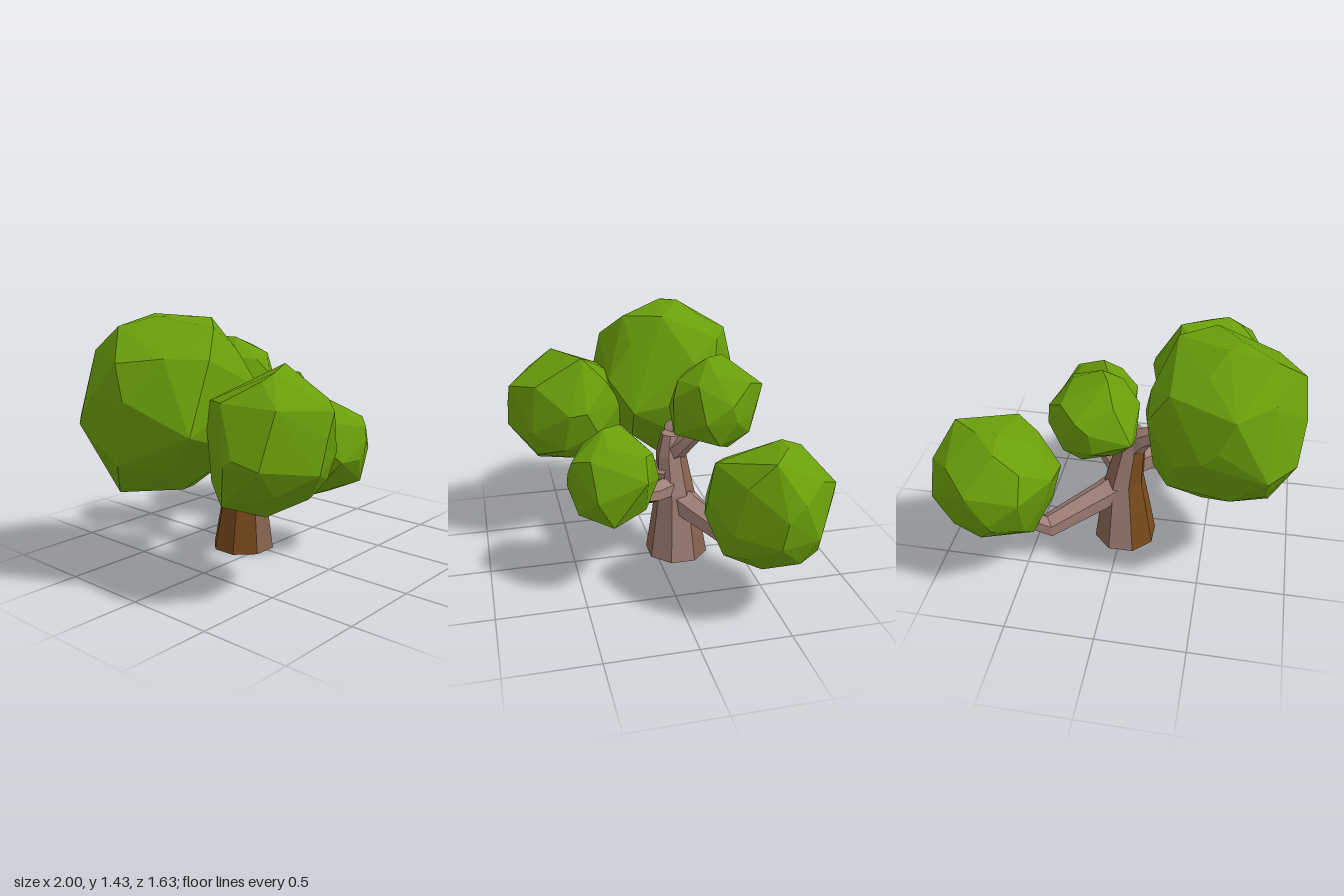
import * as THREE from 'three';
import { ConvexGeometry } from 'three/addons/geometries/ConvexGeometry.js';

const material = (name, color, side = THREE.FrontSide) => {
  const m = new THREE.MeshStandardMaterial({ color, side });
  m.name = name;
  return m;
};

// Faceted leaf clump: hull of three outlines (front [x, y], side [z, y], top [x, z]) and eight corners
function clumpGeometry({ front, side, top, fullness = 1 }) {
  const xs = [...front, ...top].map((p) => p[0]);
  const ys = [...front, ...side].map((p) => p[1]);
  const zs = [...side.map((p) => p[0]), ...top.map((p) => p[1])];
  const box = new THREE.Box3(
    new THREE.Vector3(Math.min(...xs), Math.min(...ys), Math.min(...zs)),
    new THREE.Vector3(Math.max(...xs), Math.max(...ys), Math.max(...zs)),
  );
  const c = box.getCenter(new THREE.Vector3());
  const half = box.getSize(new THREE.Vector3()).multiplyScalar(0.5);
  const zigzag = (i) => (i % 2 ? 0.18 : -0.18);
  const points = [
    ...front.map(([x, y], i) => new THREE.Vector3(x, y, c.z + half.z * zigzag(i))),
    ...side.map(([z, y], i) => new THREE.Vector3(c.x + half.x * zigzag(i), y, z)),
    ...top.map(([x, z], i) => new THREE.Vector3(x, c.y + half.y * zigzag(i), z)),
  ];
  for (const x of [-1, 1]) for (const y of [-1, 1]) for (const z of [-1, 1]) {
    points.push(new THREE.Vector3(x, y, z).multiplyScalar(0.577 * fullness).multiply(half).add(c));
  }
  return new ConvexGeometry(points);
}

// Faceted limb through [x, y, z, radius] rings, open at its base; tint gives the material of each face
function limbGeometry(rings, sides, reference, tint) {
  const centres = rings.map((r) => new THREE.Vector3(r[0], r[1], r[2]));
  const last = rings.length - 1;
  const loops = rings.map((ring, i) => {
    const t = centres[Math.min(i + 1, last)].clone().sub(centres[Math.max(i - 1, 0)]).normalize();
    if (reference.z === 1) t.set(0, 1, 0);
    const u = t.clone().cross(reference).normalize();
    const v = t.clone().cross(u);
    return Array.from({ length: sides }, (_, j) => {
      const a = ((j + 0.5) / sides) * Math.PI * 2;
      return centres[i].clone()
        .addScaledVector(u, ring[3] * Math.cos(a))
        .addScaledVector(v, ring[3] * Math.sin(a));
    });
  });
  const lists = [[], [], []];
  for (let j = 0; j < sides; j++) {
    const k = (j + 1) % sides;
    for (let i = 0; i < last; i++) {
      const [a, b, c, d] = [loops[i][j], loops[i][k], loops[i + 1][k], loops[i + 1][j]];
      lists[tint(i, j)].push(a, b, c, a, c, d);
    }
    lists[0].push(centres[last], loops[last][j], loops[last][k]);
  }
  const geometry = new THREE.BufferGeometry().setFromPoints(lists.flat());
  let start = 0;
  lists.forEach((list, index) => {
    geometry.addGroup(start, list.length, index);
    start += list.length;
  });
  geometry.computeVertexNormals();
  return geometry;
}

export function createModel() {
  const tree = new THREE.Group();
  tree.name = 'tree';
  const leaf = material('leaf green', 0x6a9e0a);
  const bark = [
    material('pale bark', 0xa08076, THREE.DoubleSide),
    material('mid bark', 0x86624f, THREE.DoubleSide),
    material('rust bark', 0x7a4a1c, THREE.DoubleSide),
  ];

  const add = (name, geometry, mat) => {
    const mesh = new THREE.Mesh(geometry, mat);
    mesh.name = name;
    tree.add(mesh);
  };

  // Tapered eight-sided trunk, its faces in three bark tones
  const trunkRings = [
    [-0.02, 0, -0.135, 0.188],
    [-0.015, 0.26, -0.13, 0.146],
    [-0.01, 0.42, -0.12, 0.118],
    [-0.045, 0.64, -0.105, 0.09],
    [-0.06, 0.76, -0.115, 0.065],
  ];
  const trunkTones = [1, 0, 2, 2, 1, 1, 0, 0];
  const trunkTint = (i, j) => (i === 0 && j === 4) || (i === 3 && j === 0) ? 2 : trunkTones[j];
  add('trunk', limbGeometry(trunkRings, 8, new THREE.Vector3(0, 0, 1), trunkTint), bark);

  // Branches, each running into its own clump, with rust faces below
  const up = new THREE.Vector3(0, 1, 0);
  const branches = {
    lowBranch: { rust: [0, 1], rings: [[0, 0.37, -0.13, 0.1], [0.1, 0.33, -0.2, 0.085], [0.39, 0.225, -0.41, 0.07], [0.5, 0.32, -0.47, 0.055], [0.56, 0.4, -0.47, 0.045]] },
    frontLeftBranch: { rust: [0], rings: [[0, 0.5, -0.1, 0.1], [-0.14, 0.485, 0.05, 0.09], [-0.31, 0.53, 0.25, 0.062], [-0.4, 0.62, 0.36, 0.045]] },
    frontRightBranch: { rust: [1], rings: [[0, 0.45, -0.1, 0.075], [0.11, 0.46, 0.04, 0.06], [0.25, 0.52, 0.22, 0.042]] },
    upperLeftBranch: { rust: [1], rings: [[-0.03, 0.61, -0.1, 0.08], [-0.12, 0.73, -0.14, 0.065], [-0.28, 0.84, -0.18, 0.045]] },
    upperBackBranch: { rust: [1, 2], rings: [[-0.03, 0.63, -0.1, 0.065], [0.04, 0.75, -0.19, 0.05], [0.1, 0.86, -0.28, 0.035]] },
  };
  for (const [name, { rust, rings }] of Object.entries(branches)) {
    add(name, limbGeometry(rings, 6, up, (i, j) => (i === 1 && rust.includes(j) ? 2 : 0)), bark);
  }

  // Leaf clumps
  add('largeClump', clumpGeometry({
    front: [[-0.57, 1.43], [-0.3, 1.4], [-0.18, 1.15], [-0.13, 0.9], [-0.2, 0.65], [-0.46, 0.48], [-0.85, 0.5], [-0.99, 0.7], [-1, 1.05], [-0.98, 1.22], [-0.82, 1.38]],
    side: [[0.21, 1.23], [0.09, 1.37], [-0.17, 1.425], [-0.4, 1.34], [-0.6, 1.22], [-0.62, 0.96], [-0.54, 0.68], [-0.3, 0.48], [0, 0.52], [0.2, 0.75]],
    top: [[-0.83, -0.605], [-0.57, -0.625], [-0.34, -0.54], [-0.18, -0.4], [-0.13, 0.1], [-0.28, 0.22], [-0.83, 0.25], [-1, -0.04], [-0.97, -0.43]],
    fullness: 1.05,
  }), leaf);

  add('frontLeftClump', clumpGeometry({
    front: [[-0.26, 1.19], [-0.6, 1.15], [-0.75, 1.05], [-0.82, 0.8], [-0.75, 0.53], [-0.57, 0.46], [-0.35, 0.52], [-0.14, 0.67], [-0.1, 0.9]],
    side: [[0.53, 1.185], [0.8, 1.01], [0.815, 0.72], [0.65, 0.54], [0.4, 0.46], [0.15, 0.6], [0.08, 0.85], [0.23, 1.08]],
    top: [[-0.82, 0.46], [-0.7, 0.24], [-0.46, 0.1], [-0.28, 0.15], [-0.14, 0.31], [-0.1, 0.48], [-0.22, 0.69], [-0.46, 0.81], [-0.78, 0.65]],
  }), leaf);

  add('backClump', clumpGeometry({
    front: [[0.03, 1.25], [0.23, 1.19], [0.355, 0.95], [0.34, 0.82], [0.2, 0.75], [0, 0.78], [-0.12, 0.9], [-0.1, 1.07]],
    side: [[-0.28, 1.25], [-0.58, 1.1], [-0.58, 0.92], [-0.45, 0.78], [-0.25, 0.76], [-0.07, 0.84], [-0.11, 1.13]],
    top: [[-0.12, -0.52], [0.09, -0.59], [0.25, -0.5], [0.355, -0.35], [0.355, -0.2], [0.14, -0.07], [0, -0.08], [-0.12, -0.25]],
  }), leaf);

  add('frontRightClump', clumpGeometry({
    front: [[0.16, 0.93], [0.34, 0.86], [0.47, 0.66], [0.48, 0.46], [0.24, 0.385], [0.01, 0.4], [0, 0.63]],
    side: [[0.34, 0.925], [0.53, 0.78], [0.55, 0.61], [0.5, 0.46], [0.35, 0.39], [0.12, 0.46], [0.04, 0.64], [0.08, 0.79]],
    top: [[0.22, 0.03], [0.48, 0.15], [0.48, 0.42], [0.26, 0.55], [0.07, 0.52], [0, 0.42], [0, 0.14]],
  }), leaf);

  add('farRightClump', clumpGeometry({
    front: [[0.6, 0.945], [0.87, 0.93], [0.98, 0.74], [1, 0.52], [0.95, 0.4], [0.74, 0.26], [0.44, 0.28], [0.35, 0.45], [0.31, 0.68], [0.4, 0.8]],
    side: [[-0.18, 0.84], [-0.53, 0.945], [-0.65, 0.9], [-0.81, 0.72], [-0.8, 0.5], [-0.65, 0.3], [-0.44, 0.26], [-0.2, 0.36], [-0.13, 0.55]],
    top: [[0.6, -0.815], [0.72, -0.8], [0.98, -0.62], [1, -0.44], [0.85, -0.21], [0.64, -0.13], [0.37, -0.2], [0.3, -0.38], [0.35, -0.56], [0.44, -0.76]],
  }), leaf);

  return tree;
}
